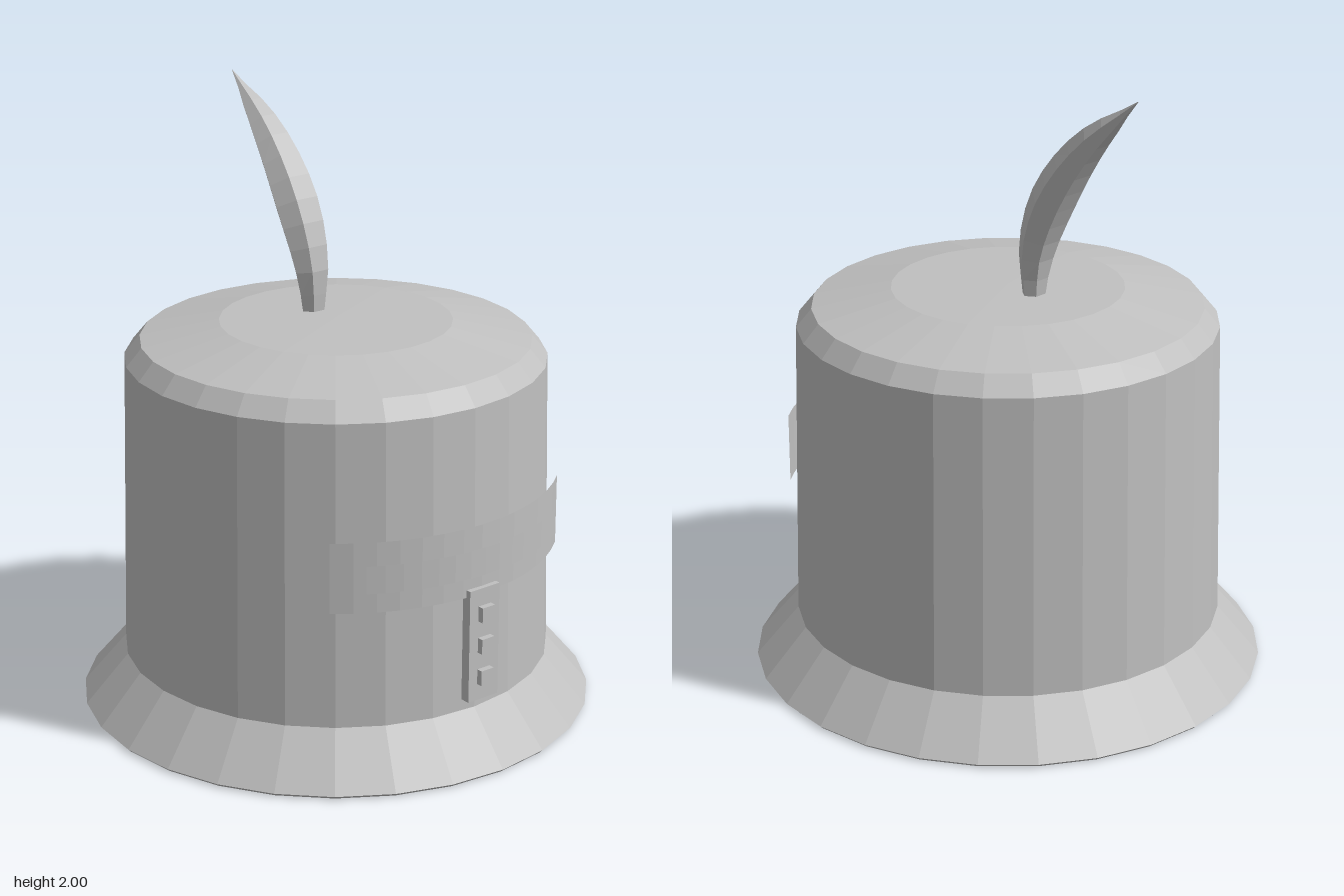
import * as THREE from 'three';

const SIDES = 28;

// Tapered hexagonal feather swept along a backward curve
function plumeGeometry() {
  const path = new THREE.CatmullRomCurve3([
    [1.27, -0.116], [1.42, -0.125], [1.56, -0.17], [1.7, -0.247], [1.84, -0.36], [2.0, -0.545],
  ].map(([y, z]) => new THREE.Vector3(0, y, z)));
  const widths = new THREE.SplineCurve([
    [0, 0.04], [0.2, 0.068], [0.4, 0.083], [0.6, 0.073], [0.8, 0.046], [1, 0.001],
  ].map(([t, r]) => new THREE.Vector2(t, r)));
  const rings = 12, n = 6, pos = [], idx = [];
  for (let i = 0; i <= rings; i++) {
    const t = i / rings, p = path.getPointAt(t), d = path.getTangentAt(t);
    const r = widths.getPoint(t).y;
    for (let j = 0; j < n; j++) {
      const a = (j / n) * Math.PI * 2, s = Math.sin(a) * r * 0.82;
      pos.push(Math.cos(a) * r, p.y - d.z * s, p.z + d.y * s);
      if (i < rings) {
        const k = (j + 1) % n, b = i * n;
        idx.push(b + j, b + n + j, b + k, b + k, b + n + j, b + n + k);
      }
    }
  }
  const g = new THREE.BufferGeometry();
  g.setAttribute('position', new THREE.Float32BufferAttribute(pos, 3));
  g.setIndex(idx);
  g.computeVertexNormals();
  return g;
}

export function createModel() {
  const group = new THREE.Group();
  const metal = new THREE.MeshStandardMaterial({ color: 0xc0c0c0, flatShading: true, side: THREE.DoubleSide });
  metal.name = 'grey metal';

  const add = (name, geometry, x = 0, y = 0, z = 0) => {
    const mesh = new THREE.Mesh(geometry, metal);
    mesh.name = name;
    mesh.position.set(x, y, z);
    group.add(mesh);
  };
  const lathe = (name, points) =>
    add(name, new THREE.LatheGeometry(points.map(([r, y]) => new THREE.Vector2(r, y)), SIDES));

  // Hollow helmet: lining, flared rim, wall and domed crown
  lathe('lining', [[0, 1.255], [0.36, 1.25], [0.6, 1.2], [0.645, 1.15], [0.665, 0.17], [0.68, 0.005]]);
  lathe('flaredRim', [[0.68, 0.005], [0.83, 0.005], [0.84, 0.015], [0.7, 0.18]]);
  lathe('wall', [[0.7, 0.18], [0.68, 1.17]]);
  lathe('crown', [[0.68, 1.17], [0.63, 1.23], [0.375, 1.285], [0, 1.29]]);

  // Curved visor plate with a narrower eye slit in front
  const band = (name, r, half, y0, y1) => add(name,
    new THREE.CylinderGeometry(r, r, y1 - y0, 14, 1, true, -half, half * 2), 0, (y0 + y1) / 2, 0);
  band('visorPlate', 0.724, 0.697, 0.575, 0.805);
  band('eyeSlit', 0.742, 0.545, 0.645, 0.735);

  // Breathing strip with three studs
  add('breathStrip', new THREE.BoxGeometry(0.12, 0.375, 0.033), 0, 0.413, 0.723);
  for (const y of [0.305, 0.412, 0.518]) {
    add('stud', new THREE.BoxGeometry(0.05, 0.05, 0.03), 0, y, 0.745);
  }

  add('plume', plumeGeometry());
  return group;
}
